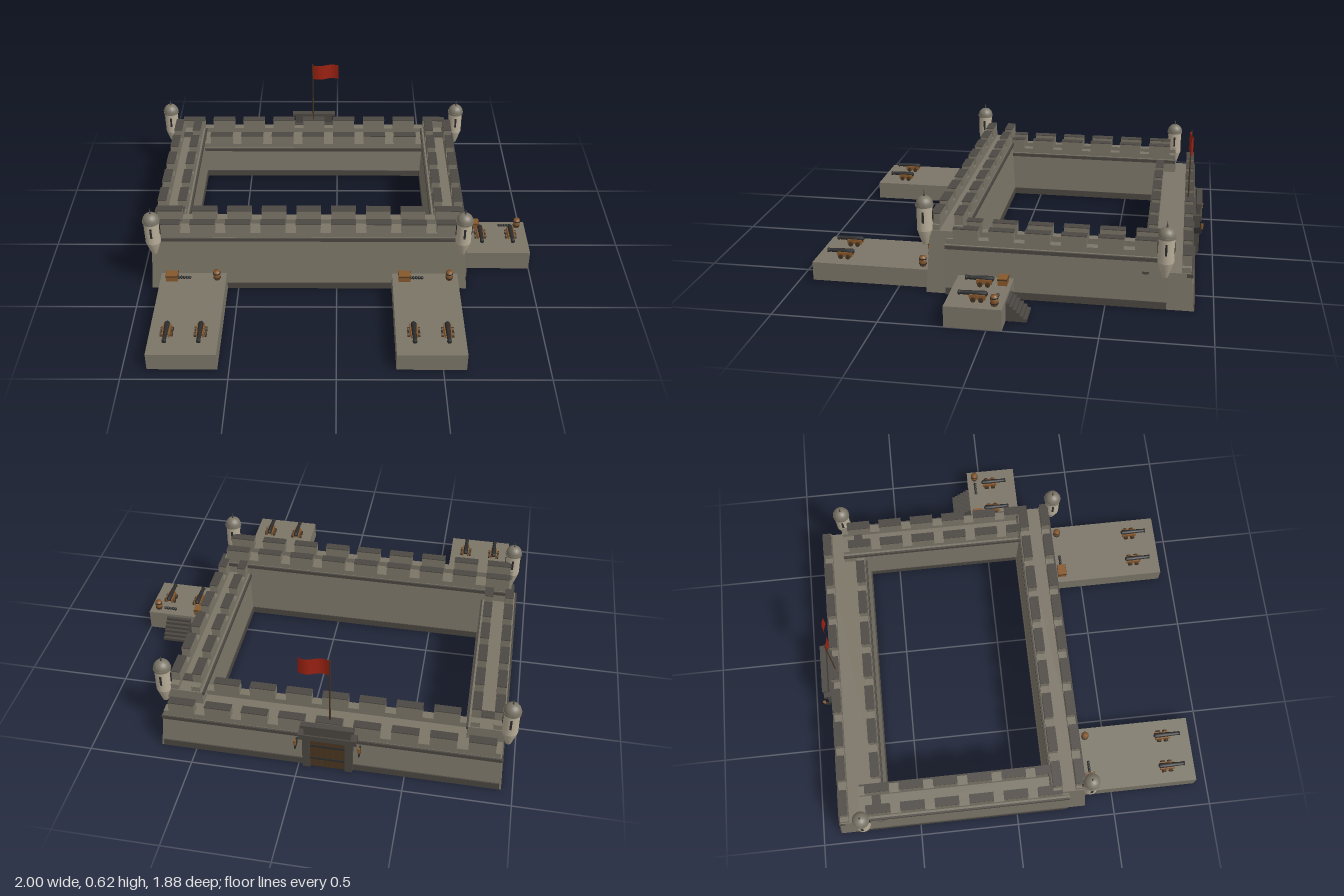
import * as THREE from 'three';

const mat = (name, color, side = THREE.FrontSide) => {
  const m = new THREE.MeshStandardMaterial({ color, side });
  m.name = name;
  return m;
};

export function createModel() {
  const root = new THREE.Group();
  root.name = 'fortress';
  const stone = mat('stone', 0x7b7567);
  const dark = mat('darkStone', 0x4b4742);
  const plaster = mat('paleStone', 0xb8ad98);
  const wood = mat('wood', 0x87582c);
  const darkWood = mat('darkWood', 0x4a3520);
  const iron = mat('iron', 0x2c2c2c);
  const red = mat('flagRed', 0x9c2212, THREE.DoubleSide);

  const add = (parent, name, geo, material, x = 0, y = 0, z = 0) => {
    const m = new THREE.Mesh(geo, material);
    m.name = name;
    m.position.set(x, y, z);
    parent.add(m);
    return m;
  };
  const group = (name, x = 0, y = 0, z = 0) => {
    const g = new THREE.Group();
    g.name = name;
    g.position.set(x, y, z);
    root.add(g);
    return g;
  };
  // Box given by its minimum and maximum corners
  const box = (parent, name, material, x0, x1, y0, y1, z0, z1) =>
    add(parent, name, new THREE.BoxGeometry(x1 - x0, y1 - y0, z1 - z0), material,
      (x0 + x1) / 2, (y0 + y1) / 2, (z0 + z1) / 2);

  // Battered wall along local x: plinth, cordon, two parapets with merlons
  function wall(name, { x, z, length, depth, height, inset, endInset, count, period, row, trim, turn = 0 }) {
    const g = group(name, x, 0, z);
    g.rotation.y = turn;
    const body = new THREE.BoxGeometry(length, height, depth);
    const p = body.attributes.position;
    for (let i = 0; i < p.count; i++) {
      if (p.getY(i) < 0) continue;
      p.setX(i, p.getX(i) - Math.sign(p.getX(i)) * endInset);
      p.setZ(i, p.getZ(i) - Math.sign(p.getZ(i)) * inset);
    }
    body.computeVertexNormals();
    add(g, 'wallBody', body, stone, 0, height / 2, 0);
    const top = depth / 2 - inset;
    for (const s of [-1, 1]) {
      add(g, 'plinth', new THREE.BoxGeometry(trim, 0.035, 0.02), dark, 0, 0.0175, s * (depth / 2 - 0.008));
      add(g, 'cordon', new THREE.BoxGeometry(trim, 0.017, 0.03), dark, 0, height - 0.0095, s * (top - 0.006));
      add(g, 'parapet', new THREE.BoxGeometry(length - 2 * endInset - 0.01, 0.027, 0.042), stone,
        0, height + 0.0135, s * row);
      for (let i = 0; i < count; i++) {
        const mx = (i - (count - 1) / 2) * period;
        add(g, 'merlon', new THREE.BoxGeometry(period - 0.052, 0.05, 0.042), stone, mx, height + 0.052, s * row);
        add(g, 'merlonCap', new THREE.BoxGeometry(period - 0.05, 0.004, 0.044), dark, mx, height + 0.079, s * row);
      }
    }
    return g;
  }
  wall('frontWall', { x: -0.14, z: 0.255, length: 1.6, depth: 0.2, height: 0.31, inset: 0.02, endInset: 0.025,
    count: 9, period: 0.174, row: 0.056, trim: 1.52 });
  wall('backWall', { x: -0.138, z: -0.782, length: 1.62, depth: 0.255, height: 0.18, inset: 0.02, endInset: 0.015,
    count: 9, period: 0.176, row: 0.085, trim: 1.6 });
  for (const s of [-1, 1]) {
    wall('sideWall', { x: -0.138 + s * 0.713, z: -0.262, length: 1.045, depth: 0.19, height: 0.25, inset: 0.012,
      endInset: 0, count: 6, period: 0.17, row: 0.052, trim: 1.04, turn: Math.PI / 2 });
  }

  // Corner sentry turrets with tapered foot, dome and finial
  function turret(x, y, z) {
    const g = group('turret', x, y, z);
    const foot = [[0, 0], [0.014, 0], [0.038, 0.075]].map(a => new THREE.Vector2(...a));
    add(g, 'turretFoot', new THREE.LatheGeometry(foot, 16), plaster);
    add(g, 'turretBody', new THREE.CylinderGeometry(0.038, 0.038, 0.12, 16), plaster, 0, 0.135, 0);
    add(g, 'turretRim', new THREE.CylinderGeometry(0.043, 0.043, 0.01, 16), stone, 0, 0.197, 0);
    add(g, 'turretDome', new THREE.SphereGeometry(0.041, 16, 8, 0, Math.PI * 2, 0, Math.PI / 2), stone, 0, 0.202, 0);
    add(g, 'finial', new THREE.ConeGeometry(0.005, 0.035, 8), dark, 0, 0.258, 0);
    for (let i = 0; i < 4; i++) {
      const a = i * Math.PI / 2;
      add(g, 'slit', new THREE.BoxGeometry(0.01, 0.055, 0.006), iron,
        Math.sin(a) * 0.037, 0.145, Math.cos(a) * 0.037).rotation.y = a;
    }
  }
  for (const s of [-1, 1]) {
    turret(-0.14 + s * 0.764, 0.235, 0.36);
    turret(-0.138 + s * 0.819, 0.17, -0.77);
  }

  // Cannon pointing to +z on a four-wheeled carriage
  function cannon(x, y, z) {
    const g = group('cannon', x, y, z);
    const profile = [[0, -0.055], [0.007, -0.052], [0.013, -0.044], [0.012, 0], [0.009, 0.07], [0.011, 0.075],
      [0.011, 0.082], [0, 0.082]].map(a => new THREE.Vector2(...a));
    add(g, 'cannonBarrel', new THREE.LatheGeometry(profile, 12), iron, 0, 0.034, 0).rotation.x = Math.PI / 2;
    for (const s of [-1, 1]) {
      box(g, 'carriageCheek', wood, s * 0.014 - 0.004, s * 0.014 + 0.004, 0.01, 0.032, -0.045, 0.03);
      const axle = add(g, 'axle', new THREE.CylinderGeometry(0.004, 0.004, 0.062, 6), iron, 0, 0.012, -0.008 + s * 0.018);
      axle.rotation.z = Math.PI / 2;
      for (const t of [-1, 1]) {
        add(g, 'wheel', new THREE.CylinderGeometry(0.012, 0.012, 0.009, 12), darkWood,
          t * 0.025, 0.012, -0.008 + s * 0.018).rotation.z = Math.PI / 2;
      }
    }
  }

  // Crate, row of cannonballs and powder barrel
  function supplies(y, z, crateX, ballX, barrelX) {
    const g = group('supplies', 0, y, z);
    box(g, 'crate', wood, crateX - 0.029, crateX + 0.029, 0, 0.035, -0.022, 0.022);
    box(g, 'crateBand', darkWood, crateX - 0.031, crateX + 0.031, 0.026, 0.031, -0.024, 0.024);
    for (let i = 0; i < 5; i++) {
      add(g, 'cannonball', new THREE.SphereGeometry(0.008, 10, 8), iron, ballX + (i - 2) * 0.014, 0.008, 0);
    }
    const profile = [[0, 0], [0.015, 0], [0.019, 0.025], [0.015, 0.05], [0, 0.05]].map(a => new THREE.Vector2(...a));
    add(g, 'powderBarrel', new THREE.LatheGeometry(profile, 12), wood, barrelX, 0, 0);
    for (const h of [0.012, 0.038]) {
      add(g, 'barrelHoop', new THREE.CylinderGeometry(0.0188, 0.0188, 0.005, 12), iron, barrelX, h, 0);
    }
  }

  // Two forward gun platforms
  for (const x of [-0.72, 0.445]) {
    box(root, 'frontPlatform', stone, x - 0.165, x + 0.165, 0, 0.093, 0.33, 0.935);
    cannon(x - 0.08, 0.093, 0.8);
    cannon(x + 0.08, 0.093, 0.8);
    supplies(0.093, 0.392, x - 0.105, x - 0.045, x + 0.12);
  }

  // Side gun platform with steps
  box(root, 'sidePlatform', stone, 0.655, 1, 0, 0.103, -0.07, 0.195);
  cannon(0.755, 0.103, 0.06);
  cannon(0.915, 0.103, 0.06);
  supplies(0.103, -0.03, 0.725, 0.893, 0.957);
  for (let i = 0; i < 6; i++) {
    box(root, 'step', dark, 0.77, 0.9, 0, 0.088 - i * 0.0147, -0.07 - (i + 1) * 0.016, -0.07 - i * 0.016);
  }

  // Rear gate: plank doors, pilasters, lintel and attic
  const gate = group('gate', -0.138, 0, 0);
  for (let i = 0; i < 6; i++) {
    const px = -0.084 + i * 0.028;
    box(gate, 'doorPlank', darkWood, px + 0.001, px + 0.027, 0, 0.18, -0.918, -0.89);
  }
  for (const h of [0.05, 0.13]) box(gate, 'doorBand', iron, -0.083, 0.083, h, h + 0.01, -0.922, -0.9);
  for (const s of [-1, 1]) {
    box(gate, 'pilaster', dark, s * 0.1 - 0.018, s * 0.1 + 0.018, 0, 0.18, -0.928, -0.88);
    box(gate, 'torchBracket', iron, s * 0.15 - 0.004, s * 0.15 + 0.004, 0.12, 0.15, -0.94, -0.89);
    add(gate, 'torch', new THREE.CylinderGeometry(0.008, 0.006, 0.028, 8), wood, s * 0.15, 0.16, -0.938);
  }
  box(gate, 'lintel', dark, -0.137, 0.137, 0.18, 0.21, -0.935, -0.88);
  box(gate, 'attic', dark, -0.11, 0.11, 0.21, 0.255, -0.928, -0.905);
  box(gate, 'atticCap', dark, -0.125, 0.125, 0.255, 0.27, -0.935, -0.905);

  // Flagpole and waving flag
  add(root, 'flagpole', new THREE.CylinderGeometry(0.003, 0.004, 0.445, 8), darkWood, -0.14, 0.4025, -0.862);
  const cloth = new THREE.PlaneGeometry(0.145, 0.088, 16, 1);
  const c = cloth.attributes.position;
  for (let i = 0; i < c.count; i++) c.setZ(i, 0.01 * Math.sin((c.getX(i) + 0.0725) * 43));
  cloth.computeVertexNormals();
  add(root, 'flag', cloth, red, -0.0665, 0.575, -0.862);

  return root;
}
